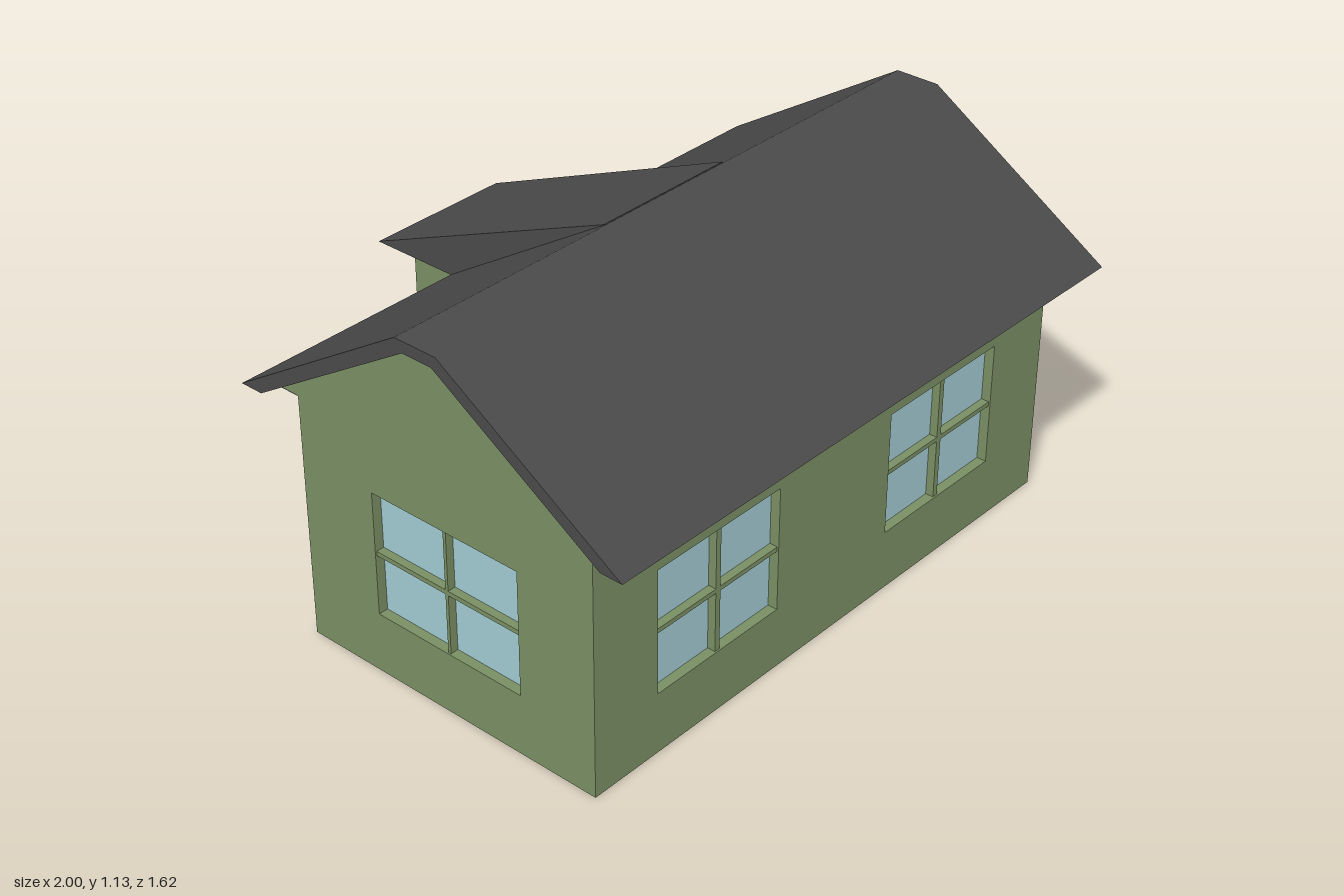
import * as THREE from 'three';

const mat = (color) => new THREE.MeshStandardMaterial({ color, flatShading: true });
const GREEN = mat(0x7a8f64), ROOF = mat(0x4a4a4a), GLASS = mat(0xa2cad2), DOOR = mat(0x8a480e), BRASS = mat(0xb08a3c);
const WALL = 0.04, RECESS = 0.03;

function add(parent, name, geometry, material, x = 0, y = 0, z = 0) {
  const mesh = new THREE.Mesh(geometry, material);
  mesh.name = name;
  mesh.position.set(x, y, z);
  parent.add(mesh);
  return mesh;
}

const box = (w, h, d) => new THREE.BoxGeometry(w, h, d);
const shapeOf = (points) => new THREE.Shape(points.map(([a, b]) => new THREE.Vector2(a, b)));

// Extrude a (z, y) profile along x, centred on x = 0
function alongX(points, width) {
  const g = new THREE.ExtrudeGeometry(shapeOf(points), { depth: width, bevelEnabled: false });
  return g.rotateY(-Math.PI / 2).translate(width / 2, 0, 0);
}

// Wall panel whose outer face is local z = 0; openings are [u0, u1, y0, y1]
function wall(parent, name, points, openings = []) {
  const group = new THREE.Group();
  group.name = name;
  const shape = shapeOf(points);
  for (const [a, b, c, d] of openings) {
    shape.holes.push(new THREE.Path([[a, c], [a, d], [b, d], [b, c]].map(([u, v]) => new THREE.Vector2(u, v))));
  }
  const g = new THREE.ExtrudeGeometry(shape, { depth: WALL, bevelEnabled: false });
  add(group, name + 'Panel', g.translate(0, 0, -WALL), GREEN);
  parent.add(group);
  return group;
}

const rect = (a, b, c, d) => [[a, c], [b, c], [b, d], [a, d]];

// Recessed glass with a cross of glazing bars
function glaze(group, [a, b, c, d], barWidth) {
  const x = (a + b) / 2, y = (c + d) / 2, depth = RECESS - 0.005;
  add(group, 'glass', box(b - a, d - c, 0.008), GLASS, x, y, -RECESS - 0.004);
  add(group, 'verticalBar', box(barWidth, d - c, depth), GREEN, x, y, -0.005 - depth / 2);
  add(group, 'horizontalBar', box(b - a, 0.014, depth), GREEN, x, y, -0.005 - depth / 2);
}

export function createModel() {
  const house = new THREE.Group();
  house.name = 'house';

  // Front and back walls with two windows each
  const longWindows = [[-0.71, -0.235, 0.19, 0.575], [0.235, 0.71, 0.19, 0.575]];
  for (const [name, z, turn] of [['frontWall', 0.665, 0], ['backWall', -0.365, Math.PI]]) {
    const w = wall(house, name, rect(-0.945, 0.945, 0, 0.762), longWindows);
    longWindows.forEach((o) => glaze(w, o, 0.018));
    w.position.z = z;
    w.rotation.y = turn;
  }

  // Gable walls with one window each
  const gable = [[-0.365, 0], [0.665, 0], [0.665, 0.762], [0.735, 0.762], [0.2, 1.1], [0.1, 1.1], [-0.44, 0.762], [-0.365, 0.762]];
  for (const s of [1, -1]) {
    const opening = s > 0 ? [-0.41, 0.105, 0.19, 0.575] : [-0.105, 0.41, 0.19, 0.575];
    const w = wall(house, s > 0 ? 'leftGableWall' : 'rightGableWall', gable.map(([z, y]) => [-s * z, y]), [opening]);
    glaze(w, opening, 0.01);
    w.position.x = s * 0.945;
    w.rotation.y = s * Math.PI / 2;
  }

  // Floors
  add(house, 'floor', box(1.89, 0.01, 1.03), GREEN, 0, 0.005, 0.15);
  add(house, 'porchFloor', box(0.36, 0.01, 0.36), GREEN, 0, 0.005, -0.545);

  // Main roof: folded slab with a flat ridge, and soffits under the eaves
  add(house, 'mainRoof', alongX([[0.81, 0.76], [0.215, 1.135], [0.075, 1.135], [-0.52, 0.76],
    [-0.445, 0.76], [0.1, 1.1], [0.2, 1.1], [0.74, 0.76]], 2), ROOF);
  add(house, 'frontSoffit', box(1.89, 0.003, 0.08), ROOF, 0, 0.7605, 0.705);
  add(house, 'backSoffit', box(1.89, 0.003, 0.085), ROOF, 0, 0.7605, -0.4075);

  // Entrance porch at the back
  const doorway = [-0.118, 0.118, 0.012, 0.385];
  const porchWall = wall(house, 'porchWall', rect(-0.18, 0.18, 0, 0.762), [doorway]);
  porchWall.position.z = -0.725;
  porchWall.rotation.y = Math.PI;
  add(porchWall, 'door', box(0.236, 0.373, 0.01), DOOR, 0, 0.1985, -RECESS - 0.005);
  add(porchWall, 'doorKnob', new THREE.SphereGeometry(0.011, 12, 8), BRASS, -0.098, 0.19, -RECESS + 0.008);
  for (const s of [1, -1]) {
    const w = wall(house, 'porchSideWall', rect(-0.18, 0.18, 0, 0.762));
    w.position.set(s * 0.18, 0, -0.545);
    w.rotation.y = s * Math.PI / 2;
  }

  // Porch roof: a wedge running down from the ridge
  add(house, 'porchRoof', alongX([[0.06, 1.127], [-0.81, 0.76], [-0.4, 0.76], [0.06, 1.05]], 0.476), ROOF);

  return house;
}
